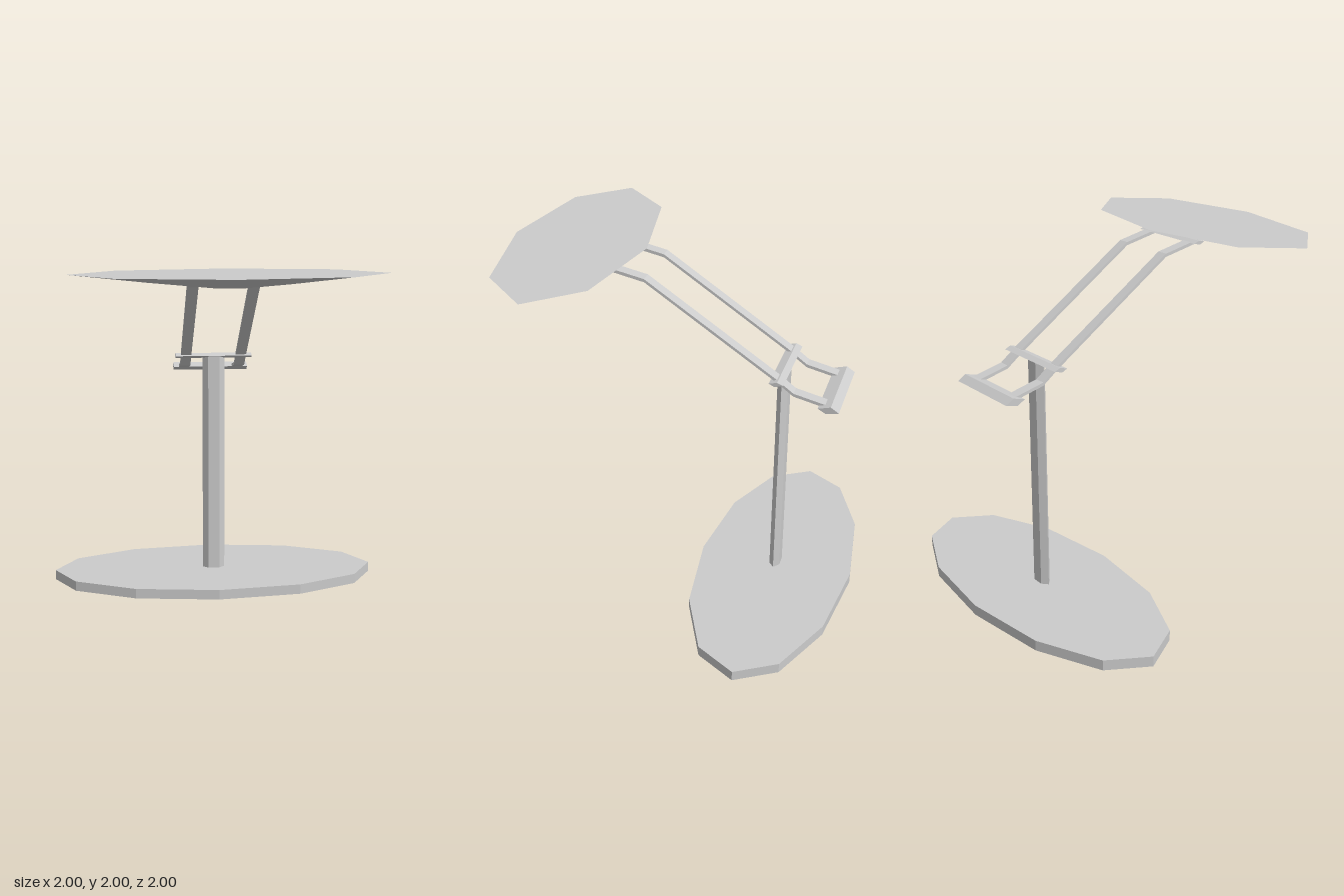
import * as THREE from 'three';

const material = new THREE.MeshStandardMaterial({ color: 0xcccccc, flatShading: true });

function addMesh(group, name, geometry, x = 0, y = 0, z = 0) {
  const mesh = new THREE.Mesh(geometry, material);
  mesh.name = name;
  mesh.position.set(x, y, z);
  group.add(mesh);
}

// Extrudes a [z, y] outline sideways, centred on x = 0
function sideExtrude(points, width) {
  const shape = new THREE.Shape(points.map(([z, y]) => new THREE.Vector2(z, y)));
  const geometry = new THREE.ExtrudeGeometry(shape, { depth: width, bevelEnabled: false });
  return geometry.translate(0, 0, -width / 2).rotateY(-Math.PI / 2);
}

// Elliptical prism with few sides
function prism(rx, rz, height, sides) {
  return new THREE.CylinderGeometry(1, 1, height, sides)
    .rotateY(Math.PI / 2).scale(rx, 1, rz);
}

export function createModel() {
  const group = new THREE.Group();
  const postZ = -0.545;

  // Oval base and hexagonal post
  addMesh(group, 'base', prism(1, 0.455, 0.06, 12), 0, 0.03, postZ);
  addMesh(group, 'post', prism(0.068, 0.035, 1.36, 6), 0, 0.73, postZ);

  // Pair of bent flat arms
  const path = [[0.42, 1.95], [0.19, 1.905], [-0.545, 1.42], [-0.64, 1.35], [-0.84, 1.305]];
  const half = 0.009;
  const outline = [
    ...path.map(([z, y]) => [z, y + half]),
    ...path.map(([z, y]) => [z, y - half]).reverse(),
  ];
  for (const [name, side] of [['leftArm', 1], ['rightArm', -1]]) {
    addMesh(group, name, sideExtrude(outline, 0.064), side * 0.168);
  }

  // Diamond-section crossbars: front, top, back and bottom corners
  const bars = {
    lampCrossbar: [[0.44, 1.952], [0.4, 1.96], [0.365, 1.947], [0.41, 1.938]],
    pivotCrossbar: [[-0.51, 1.417], [-0.555, 1.43], [-0.59, 1.415], [-0.54, 1.402]],
    counterweight: [[-0.78, 1.31], [-0.85, 1.33], [-0.895, 1.3], [-0.825, 1.285]],
  };
  for (const [name, corners] of Object.entries(bars)) {
    addMesh(group, name, sideExtrude(corners, 0.466));
  }

  // Shallow faceted lamp head with a flat top
  const profile = [[0, 1.927], [0.12, 1.929], [0.5, 1.957], [1, 2], [0, 2]]
    .map(([r, y]) => new THREE.Vector2(r, y));
  addMesh(group, 'lampHead', new THREE.LatheGeometry(profile, 8).scale(0.83, 1, 0.38), 0, 0, 0.62);

  return group;
}
